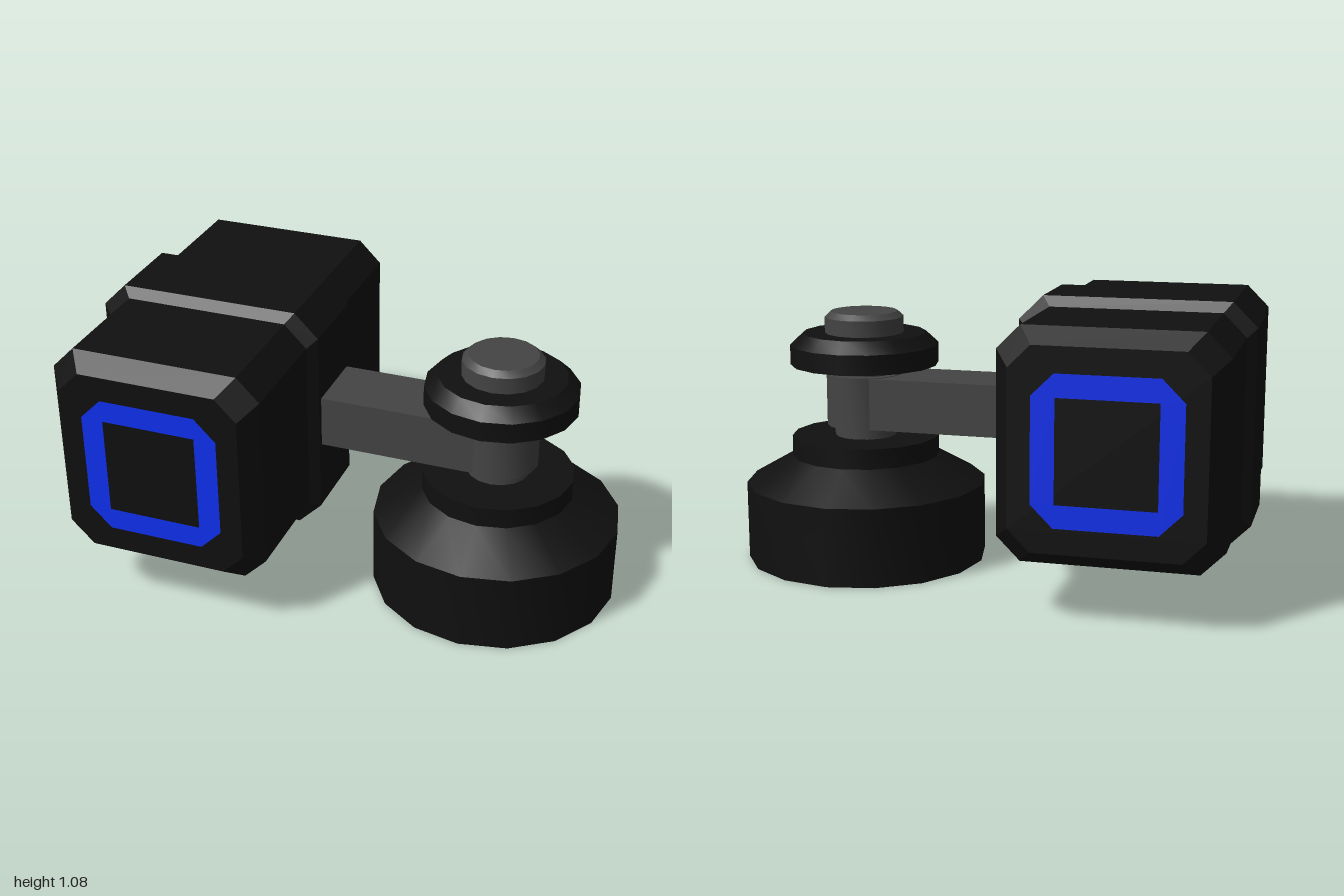
import * as THREE from 'three';
import { toCreasedNormals } from 'three/addons/utils/BufferGeometryUtils.js';

const black = new THREE.MeshStandardMaterial({ color: 0x101010 });
const steel = new THREE.MeshStandardMaterial({ color: 0x444444 });
const blue = new THREE.MeshStandardMaterial({ color: 0x1030f0 });

// Centre of the housing (x, y) and of the upright pivot (x)
const HX = -0.565, HY = 0.627, PX = 0.53;

function mesh(name, geometry, material, x = 0, y = 0, z = 0) {
  const m = new THREE.Mesh(geometry, material);
  m.name = name;
  m.position.set(x, y, z);
  return m;
}

// Corners of a rectangle with cut corners, anticlockwise
function octagon(w, h, c) {
  return [
    [w, -h + c], [w, h - c], [w - c, h], [-w + c, h],
    [-w, h - c], [-w, -h + c], [-w + c, -h], [w - c, -h],
  ];
}

// Joins octagonal sections [z, halfWidth, halfHeight, cornerCut] and closes both ends
function loft(sections) {
  const pos = [], idx = [];
  for (const [z, w, h, c] of sections) {
    for (const [x, y] of octagon(w, h, c)) pos.push(x, y, z);
  }
  for (let s = 0; s < sections.length - 1; s++) {
    for (let i = 0; i < 8; i++) {
      const a = s * 8 + i, b = s * 8 + (i + 1) % 8;
      idx.push(a, b, b + 8, a, b + 8, a + 8);
    }
  }
  const last = (sections.length - 1) * 8;
  for (let i = 1; i < 7; i++) {
    idx.push(0, i + 1, i, last, last + i, last + i + 1);
  }
  const g = new THREE.BufferGeometry();
  g.setAttribute('position', new THREE.Float32BufferAttribute(pos, 3));
  g.setIndex(idx);
  return toCreasedNormals(g, 0.3);
}

// Turned part from a [radius, y] profile, 16 sides
function turned(profile) {
  const g = new THREE.LatheGeometry(profile.map(([r, y]) => new THREE.Vector2(r, y)), 16);
  return toCreasedNormals(g, 0.5);
}

export function createModel() {
  const model = new THREE.Group();
  model.name = 'clampMount';

  // Housing with bevelled ends and a raised band round the middle
  const housing = new THREE.Group();
  housing.name = 'housing';
  housing.position.set(HX, HY, 0);
  housing.add(mesh('housingBody', loft([
    [-0.687, 0.343, 0.36, 0.08], [-0.613, 0.4, 0.416, 0.085],
    [0.613, 0.4, 0.416, 0.085], [0.687, 0.343, 0.36, 0.08],
  ]), black));
  housing.add(mesh('housingBand', loft([
    [-0.185, 0.4, 0.416, 0.085], [-0.157, 0.435, 0.453, 0.09],
    [0.157, 0.435, 0.453, 0.09], [0.185, 0.4, 0.416, 0.085],
  ]), black));

  // Coloured frame on each end
  const frame = new THREE.Shape(octagon(0.262, 0.268, 0.08).map(([x, y]) => new THREE.Vector2(x, y)));
  const hole = [[-0.178, -0.185], [-0.178, 0.185], [0.178, 0.185], [0.178, -0.185]];
  frame.holes.push(new THREE.Path(hole.map(([x, y]) => new THREE.Vector2(x, y))));
  const frameGeometry = new THREE.ShapeGeometry(frame);
  for (const side of [1, -1]) {
    const f = mesh(side > 0 ? 'frontFrame' : 'backFrame', frameGeometry, blue, 0, 0, side * 0.69);
    if (side < 0) f.rotation.y = Math.PI;
    housing.add(f);
  }
  model.add(housing);

  // Arm reaching from the band to the pivot, ending in a round eye
  model.add(mesh('arm', new THREE.BoxGeometry(0.71, 0.2, 0.27), steel, 0.175, 0.63, 0));
  model.add(mesh('armEye', turned([[0, 0.528], [0.15, 0.528], [0.15, 0.732], [0, 0.732]]), steel, PX));

  // Post through the arm, with its cap on top
  model.add(mesh('post', turned([[0, 0.46], [0.12, 0.46], [0.12, 0.9], [0, 0.9]]), steel, PX));
  model.add(mesh('postCap', turned([
    [0, 0.86], [0.153, 0.86], [0.153, 0.952], [0.13, 0.973], [0, 0.973],
  ]), steel, PX));

  // Collar above the arm
  model.add(mesh('collar', turned([
    [0, 0.768], [0.288, 0.768], [0.288, 0.845], [0.24, 0.89], [0, 0.89],
  ]), black, PX));

  // Wide foot with a sloping shoulder and neck
  model.add(mesh('foot', turned([
    [0, 0], [0.47, 0], [0.47, 0.303], [0.288, 0.408], [0.288, 0.486], [0, 0.486],
  ]), black, PX));

  return model;
}
